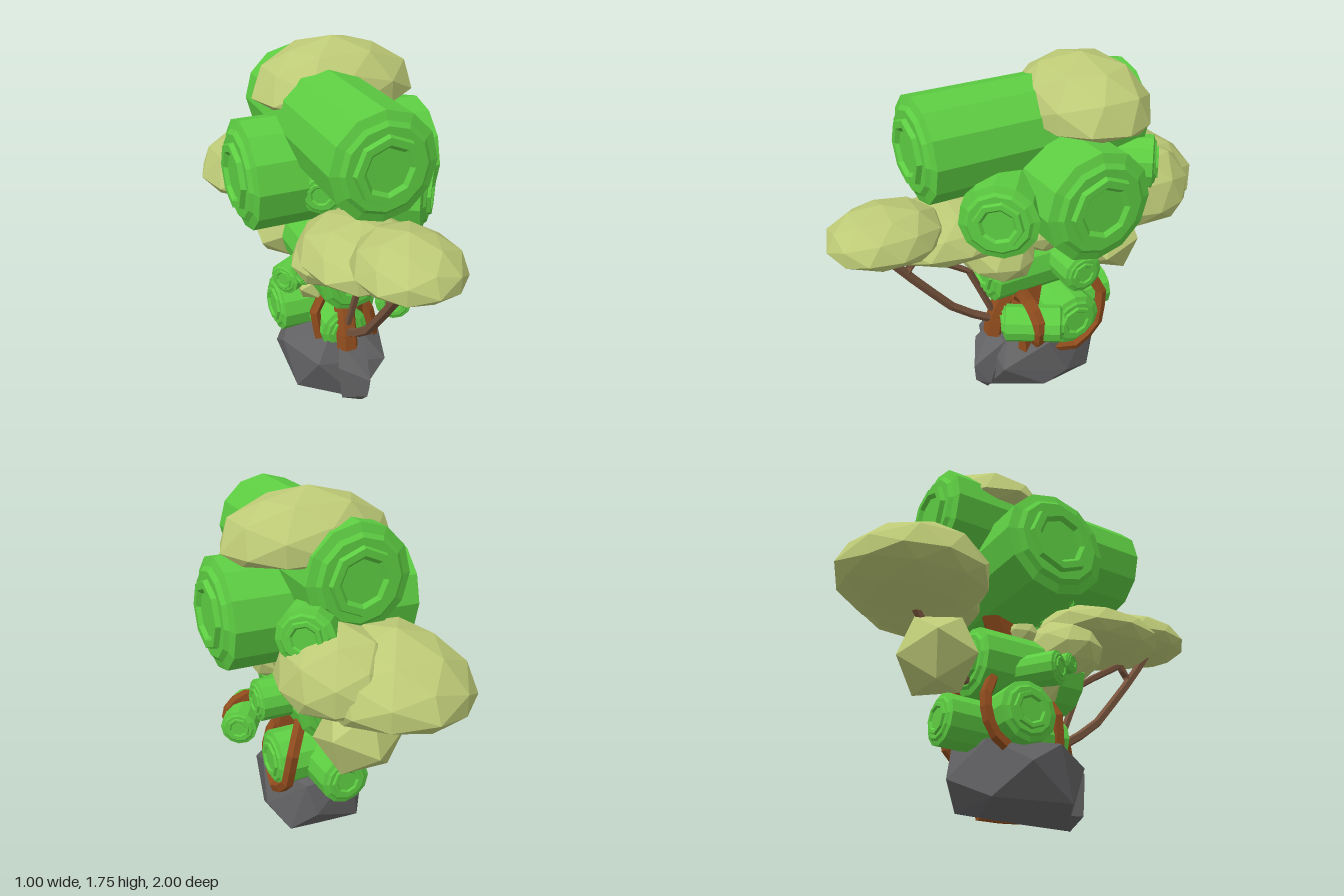
import * as THREE from 'three';
import { ConvexGeometry } from 'three/addons/geometries/ConvexGeometry.js';

const mat = (name, color, extra = {}) => {
  const m = new THREE.MeshStandardMaterial({ color, flatShading: true, ...extra });
  m.name = name;
  return m;
};

export function createModel() {
  const green = mat('barrel green', 0x5dcd42);
  const olive = mat('foliage olive', 0xbdca76);
  const stone = mat('rock grey', 0x626264);
  const bark = mat('bark brown', 0x8f4c1d, { side: THREE.DoubleSide });
  const twig = mat('branch brown', 0x77543d, { side: THREE.DoubleSide });
  const root = new THREE.Group();
  root.name = 'barrelTree';
  const V = (p) => new THREE.Vector3(...p);
  const add = (parent, name, geo, material) => {
    const mesh = new THREE.Mesh(geo, material);
    mesh.name = name;
    parent.add(mesh);
    return mesh;
  };
  const lathe = (pts, sides) => new THREE.LatheGeometry(pts.map(([x, y]) => new THREE.Vector2(x, y)), sides);

  // Twelve-sided barrel between two points, with a stepped eight-sided ring on each end
  function barrel(name, a, b, r) {
    const g = new THREE.Group();
    g.name = name;
    const from = V(a), to = V(b), h = from.distanceTo(to) / 2;
    const half = [[0, 0.12], [0.76, 0.12], [0.84, 0.05], [1, 0]].map(([x, y]) => [x * r, y * r + h]);
    add(g, 'barrelBody', lathe([...half.map(([x, y]) => [x, -y]), ...half.reverse()], 12), green);
    const ring = [[0.64, 0.1], [0.6, 0.21], [0.47, 0.21], [0.4, 0.14], [0, 0.14]];
    const ringGeo = lathe(ring.map(([x, y]) => [x * r, y * r + h]), 8);
    for (const turn of [0, Math.PI]) add(g, 'endRing', ringGeo, green).rotation.x = turn;
    g.position.copy(from).lerp(to, 0.5);
    g.quaternion.setFromUnitVectors(new THREE.Vector3(0, 1, 0), to.sub(from).normalize());
    root.add(g);
  }

  // Upper barrels
  barrel('topBarrel', [-0.04, 1.41, -0.5], [-0.04, 1.41, 0.555], 0.242);
  barrel('crossBarrel', [-0.445, 1.19, -0.08], [0.445, 1.19, -0.08], 0.26);
  barrel('frontCornerBarrel', [0, 1.15, 0.12], [0.285, 1.15, 0.325], 0.18);
  barrel('backCornerBarrel', [0, 1.2, -0.25], [0.215, 1.205, -0.53], 0.13);
  barrel('innerLeftBarrel', [0, 1.17, -0.1], [-0.165, 1.155, 0.19], 0.1);
  // Middle barrels
  barrel('middleFrontBarrel', [-0.03, 0.71, -0.28], [-0.03, 0.71, 0.245], 0.165);
  barrel('middleSideBarrel', [0, 0.74, -0.12], [0.275, 0.74, -0.12], 0.1);
  barrel('middleLeftBarrel', [-0.08, 0.66, -0.1], [-0.295, 0.655, 0.025], 0.08);
  barrel('smallLeftBarrel', [-0.06, 0.72, 0.05], [-0.25, 0.72, 0.13], 0.05);
  barrel('loopedBarrel', [0.32, 0.525, 0.03], [0.185, 0.525, 0.25], 0.09);
  // Lower barrels
  barrel('lowCrossBarrel', [-0.285, 0.42, -0.13], [0.2, 0.41, -0.13], 0.14);
  barrel('lowLengthBarrel', [-0.04, 0.4, -0.43], [-0.04, 0.38, 0.17], 0.12);

  // Faceted foliage clump: flattened below, slightly uneven, optionally lower at the back
  function clump(name, pos, size, flat, detail = 1, slope = 0) {
    const geo = new THREE.IcosahedronGeometry(1, detail);
    const p = geo.attributes.position;
    for (let i = 0; i < p.count; i++) {
      const v = new THREE.Vector3().fromBufferAttribute(p, i);
      const k = 1 + 0.03 * Math.sin(Math.round(v.x * 50) * 1.7 + Math.round(v.y * 50) * 2.3 + Math.round(v.z * 50) * 3.1);
      const rise = v.y < 0 ? flat : 1 + slope * v.z;
      p.setXYZ(i, v.x * k * size[0], v.y * k * size[1] * rise, v.z * k * size[2]);
    }
    geo.computeVertexNormals();
    const mesh = add(root, name, geo, olive);
    mesh.position.set(...pos);
    return mesh;
  }
  clump('crownFoliage', [0.06, 1.5, -0.21], [0.4, 0.245, 0.295], 0.3);
  clump('frontTipFoliage', [-0.015, 1.04, 0.735], [0.235, 0.16, 0.27], 0.5);
  clump('frontFoliage', [-0.075, 0.96, 0.42], [0.28, 0.16, 0.34], 0.6);
  clump('lowFrontFoliage', [-0.05, 0.82, 0.19], [0.265, 0.18, 0.19], 0.78);
  clump('backFoliage', [-0.145, 0.955, -0.645], [0.355, 0.27, 0.35], 0.4, 1, 0.3);
  clump('backSideFoliage', [0.06, 0.985, -0.52], [0.27, 0.26, 0.31], 0.5);
  clump('innerFoliage', [0.02, 0.9, -0.02], [0.14, 0.12, 0.13], 1);
  clump('lowBackFoliage', [-0.08, 0.675, -0.475], [0.22, 0.2, 0.195], 1, 0).rotation.x = 0.35;
  clump('lowInnerFoliage', [-0.15, 0.6, 0.02], [0.09, 0.09, 0.1], 1, 0);

  // Angular bark tubes along short paths
  function stem(name, pts, r, material, sides = 5) {
    const curve = new THREE.CatmullRomCurve3(pts.map(V), false, 'catmullrom', 0.2);
    add(root, name, new THREE.TubeGeometry(curve, (pts.length - 1) * 2, r, sides), material);
  }
  stem('trunk', [[0.03, 0.2, 0.07], [0.04, 0.5, 0.07], [0, 0.72, 0.0], [-0.02, 1.0, -0.15]], 0.08, bark, 6);
  stem('frontStub', [[-0.04, 0.3, 0.21], [-0.04, 0.41, 0.19], [-0.02, 0.6, 0.1]], 0.055, bark, 6);
  stem('sideRoot', [[0.13, 0.27, 0.12], [0.12, 0.4, 0.12], [0.04, 0.56, 0.08]], 0.035, bark);
  stem('sideHook', [[0.16, 0.28, 0.03], [0.195, 0.25, -0.13], [0.19, 0.33, -0.265], [0.17, 0.52, -0.3], [0.1, 0.65, -0.23]], 0.03, bark);
  stem('barrelLoop', [[0.03, 0.52, 0.1], [0.12, 0.61, 0.13], [0.25, 0.63, 0.15], [0.32, 0.58, 0.15], [0.335, 0.5, 0.15], [0.29, 0.44, 0.14]], 0.032, bark);
  stem('backHook', [[-0.22, 0.27, -0.2], [-0.21, 0.33, -0.27], [-0.2, 0.47, -0.3], [-0.14, 0.6, -0.23]], 0.028, bark);
  stem('leftHook', [[-0.15, 0.32, 0.12], [-0.17, 0.48, 0.1], [-0.08, 0.6, 0.07]], 0.028, bark);

  // Thin branches carrying the foliage
  stem('longBranch', [[-0.04, 0.38, 0.2], [-0.04, 0.52, 0.41], [-0.04, 0.82, 0.66], [-0.04, 1.0, 0.79]], 0.023, twig);
  stem('branchFork', [[-0.04, 0.8, 0.65], [-0.04, 0.92, 0.57]], 0.02, twig);
  stem('upperBranch', [[-0.04, 0.45, 0.22], [-0.04, 0.73, 0.34], [-0.04, 0.78, 0.42], [-0.04, 0.88, 0.58]], 0.018, twig);
  stem('backBranch', [[-0.04, 0.6, -0.3], [-0.08, 0.74, -0.5], [-0.1, 0.92, -0.64]], 0.02, twig);

  // Rough boulder: a main block with a smaller slab jutting from its front
  const block = [
    [-0.31, 0.29, 0.02], [-0.3, 0.2, -0.12], [-0.27, 0.05, 0.1], [-0.2, 0.05, -0.26],
    [0, 0, 0.26], [0.01, 0.01, -0.2], [0.19, 0.05, 0.04], [0.16, 0.05, -0.24],
    [0.22, 0.12, -0.08], [0.2, 0.32, 0.02], [0.15, 0.2, 0.25], [-0.2, 0.24, 0.22],
    [0.06, 0.17, -0.34], [0.1, 0.32, -0.3], [-0.16, 0.31, -0.26], [-0.11, 0.37, 0.16], [0.06, 0.33, 0.18],
  ];
  const slab = [
    [0.01, 0, 0.28], [0.01, 0.07, 0.345], [-0.1, 0.05, 0.28], [-0.12, 0.24, 0.28], [-0.08, 0.34, 0.2],
    [0.02, 0.17, 0.355], [0.05, 0.05, 0.28], [0.06, 0.3, 0.2], [-0.02, 0.05, 0.05],
  ];
  add(root, 'rock', new ConvexGeometry(block.map(V)), stone);
  add(root, 'rockSlab', new ConvexGeometry(slab.map(V)), stone);

  // Root showing beneath the boulder
  stem('underRoot', [[0.06, 0.045, 0.1], [0.13, 0.05, 0], [0.11, 0.045, -0.15]], 0.025, bark);
  return root;
}
